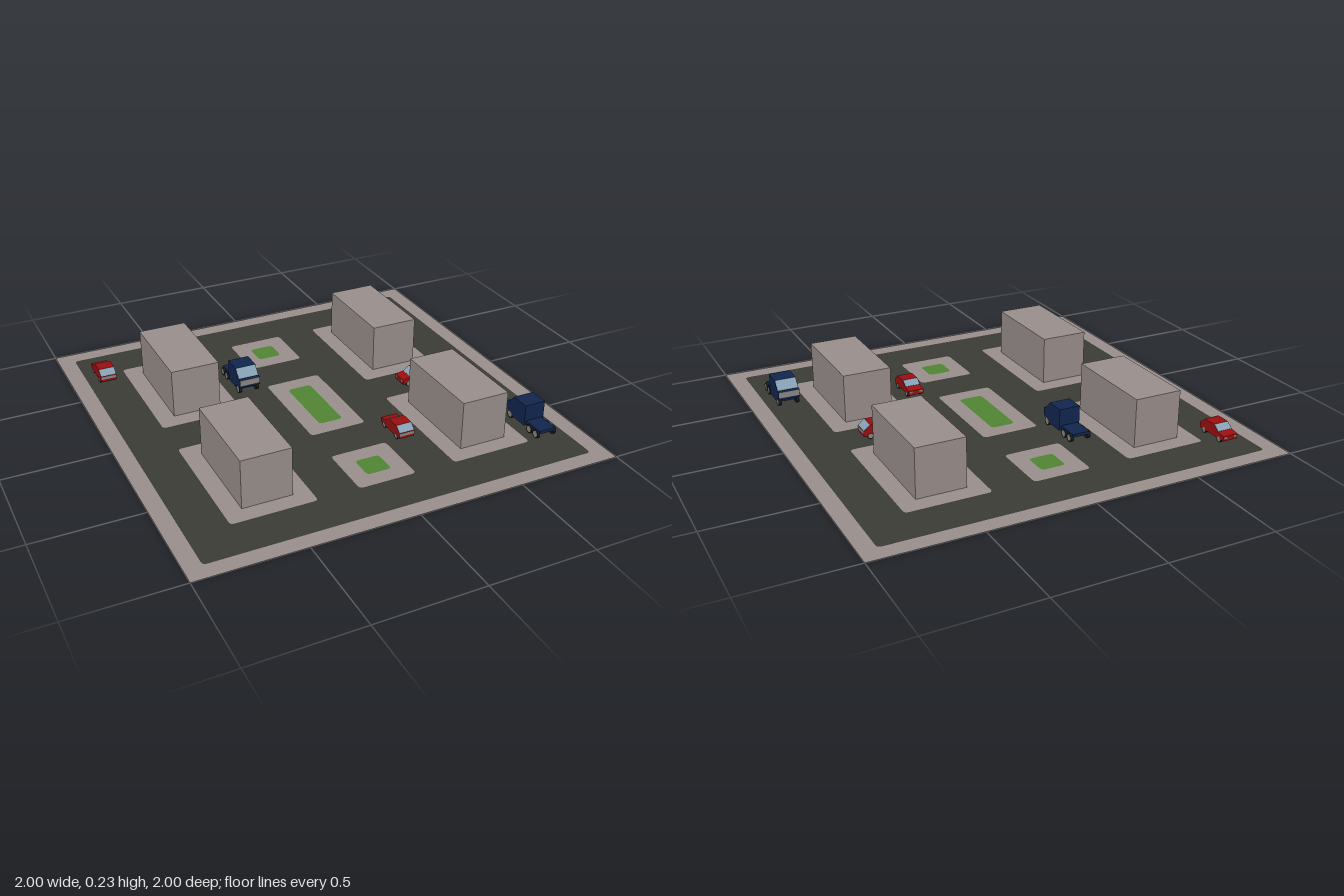
import * as THREE from 'three';

const mat = (name, color, side = THREE.FrontSide) => {
  const m = new THREE.MeshStandardMaterial({ color, side });
  m.name = name;
  return m;
};

export function createModel() {
  const concrete = mat('concrete', 0x9a908d, THREE.DoubleSide);
  const asphalt = mat('asphalt', 0x3c3c36, THREE.DoubleSide);
  const grass = mat('grass', 0x528533, THREE.DoubleSide);
  const red = mat('red paint', 0x9c0f10);
  const navy = mat('navy paint', 0x11264f);
  const glass = mat('glass', 0x86a0b4);
  const rubber = mat('rubber', 0x1b1b1c);
  const trim = mat('grey trim', 0x8e8987);

  const city = new THREE.Group();
  city.name = 'cityBlock';

  const add = (parent, name, geometry, material, x = 0, y = 0, z = 0) => {
    const mesh = new THREE.Mesh(geometry, material);
    mesh.name = name;
    mesh.position.set(x, y, z);
    parent.add(mesh);
    return mesh;
  };
  const box = (parent, name, material, w, h, d, x, y, z) =>
    add(parent, name, new THREE.BoxGeometry(w, h, d), material, x, y, z);

  // Flat ground pieces: rounded rectangles that fit into one another's holes
  const patch = (x, z, w, d, r = 0.02) => {
    const s = new THREE.Shape();
    const a = w / 2, b = d / 2;
    s.moveTo(x - a + r, -z - b);
    s.lineTo(x + a - r, -z - b);
    s.quadraticCurveTo(x + a, -z - b, x + a, -z - b + r);
    s.lineTo(x + a, -z + b - r);
    s.quadraticCurveTo(x + a, -z + b, x + a - r, -z + b);
    s.lineTo(x - a + r, -z + b);
    s.quadraticCurveTo(x - a, -z + b, x - a, -z + b - r);
    s.lineTo(x - a, -z - b + r);
    s.quadraticCurveTo(x - a, -z - b, x - a + r, -z - b);
    return s;
  };
  const ground = (name, shape, holes, material) => {
    shape.holes = holes;
    add(city, name, new THREE.ShapeGeometry(shape, 4).rotateX(-Math.PI / 2), material);
  };

  const outer = new THREE.Shape([[-1, -1], [1, -1], [1, 1], [-1, 1]].map(p => new THREE.Vector2(...p)));
  const roadArea = () => patch(0, 0, 1.84, 1.84);
  const lots = [], parks = [];
  for (const x of [-0.53, 0.53])
    for (const z of [-0.413, 0.413]) lots.push([x, z, 0.395, 0.627]);
  for (const [z, d, lawn] of [[-0.59, 0.275, 0.118], [0, 0.51, 0.355], [0.588, 0.275, 0.118]])
    parks.push({ island: [0, z, 0.275, d], lawn: [0, z, 0.118, lawn] });

  ground('outerPavement', outer, [roadArea()], concrete);
  ground('road', roadArea(), [...lots, ...parks.map(p => p.island)].map(a => patch(...a)), asphalt);
  lots.forEach(a => ground('lotPavement', patch(...a), [], concrete));
  parks.forEach(p => {
    ground('parkPavement', patch(...p.island), [patch(...p.lawn)], concrete);
    ground('lawn', patch(...p.lawn), [], grass);
  });

  // Buildings
  for (const [x, z] of lots)
    box(city, 'building', concrete, 0.232, 0.233, 0.468, Math.sign(x) * 0.529, 0.1185, Math.sign(z) * 0.413);

  // Side profile of [z, y] points extruded across the vehicle's width
  const body = (parent, name, points, width, material) => {
    const shape = new THREE.Shape(points.map(p => new THREE.Vector2(...p)));
    const g = new THREE.ExtrudeGeometry(shape, { depth: width, bevelEnabled: false });
    g.rotateY(-Math.PI / 2).translate(width / 2, 0, 0);
    add(parent, name, g, material);
  };

  // Thin plate lying on the profile line between two [z, y] points
  const plate = (parent, name, [z1, y1], [z2, y2], width, material) => {
    const p = box(parent, name, material, width, Math.hypot(z2 - z1, y2 - y1), 0.003,
      0, (y1 + y2) / 2, (z1 + z2) / 2);
    p.rotation.x = Math.atan2(z2 - z1, y2 - y1);
  };

  const wheels = (parent, r, thickness, halfTrack, axles) => {
    for (const z of axles)
      for (const side of [-1, 1]) {
        const tyre = new THREE.CylinderGeometry(r, r, thickness, 16).rotateZ(Math.PI / 2);
        add(parent, 'tyre', tyre, rubber, side * halfTrack, r, z);
        const hub = new THREE.CylinderGeometry(r * 0.75, r * 0.75, 0.002, 16).rotateZ(Math.PI / 2);
        add(parent, 'hubcap', hub, trim, side * (halfTrack + thickness / 2), r, z);
      }
  };

  // Hatchback, nose towards -z
  const car = (x, z, turn) => {
    const g = new THREE.Group();
    g.name = 'car';
    body(g, 'carBody', [
      [-0.086, 0.015], [0.086, 0.015], [0.086, 0.043], [0.054, 0.069],
      [-0.012, 0.069], [-0.045, 0.045], [-0.086, 0.038],
    ], 0.078, red);
    plate(g, 'windscreen', [-0.044, 0.046], [-0.013, 0.0685], 0.074, glass);
    plate(g, 'rearWindow', [0.085, 0.044], [0.055, 0.0685], 0.076, glass);
    box(g, 'rearPanel', trim, 0.076, 0.014, 0.003, 0, 0.034, 0.086);
    for (const s of [-1, 1]) box(g, 'headlight', trim, 0.014, 0.009, 0.003, s * 0.026, 0.03, -0.086);
    wheels(g, 0.015, 0.011, 0.0335, [-0.055, 0.055]);
    g.position.set(x, 0, z);
    g.rotation.y = turn;
    city.add(g);
  };
  car(-0.827, -0.71, 0);
  car(0.234, 0.389, 0);
  car(0.548, 0.004, Math.PI / 2);

  // Flatbed truck, cab towards +z
  const truck = (x, z, turn) => {
    const g = new THREE.Group();
    g.name = 'truck';
    body(g, 'cab', [
      [-0.02, 0.018], [0.072, 0.018], [0.085, 0.038], [0.125, 0.038], [0.125, 0.078],
      [0.11, 0.08], [0.073, 0.122], [-0.02, 0.122],
    ], 0.105, navy);
    plate(g, 'windscreen', [0.1095, 0.081], [0.0735, 0.1215], 0.101, glass);
    box(g, 'grille', trim, 0.101, 0.029, 0.003, 0, 0.063, 0.125);
    box(g, 'bed', navy, 0.084, 0.015, 0.107, 0, 0.0335, -0.0715);
    box(g, 'chassis', navy, 0.07, 0.022, 0.13, 0, 0.028, 0.03);
    wheels(g, 0.02, 0.014, 0.044, [-0.105, -0.057, 0.095]);
    g.position.set(x, 0, z);
    g.rotation.y = turn;
    city.add(g);
  };
  truck(-0.237, -0.356, 0);
  truck(0.82, 0.606, Math.PI);

  return city;
}
